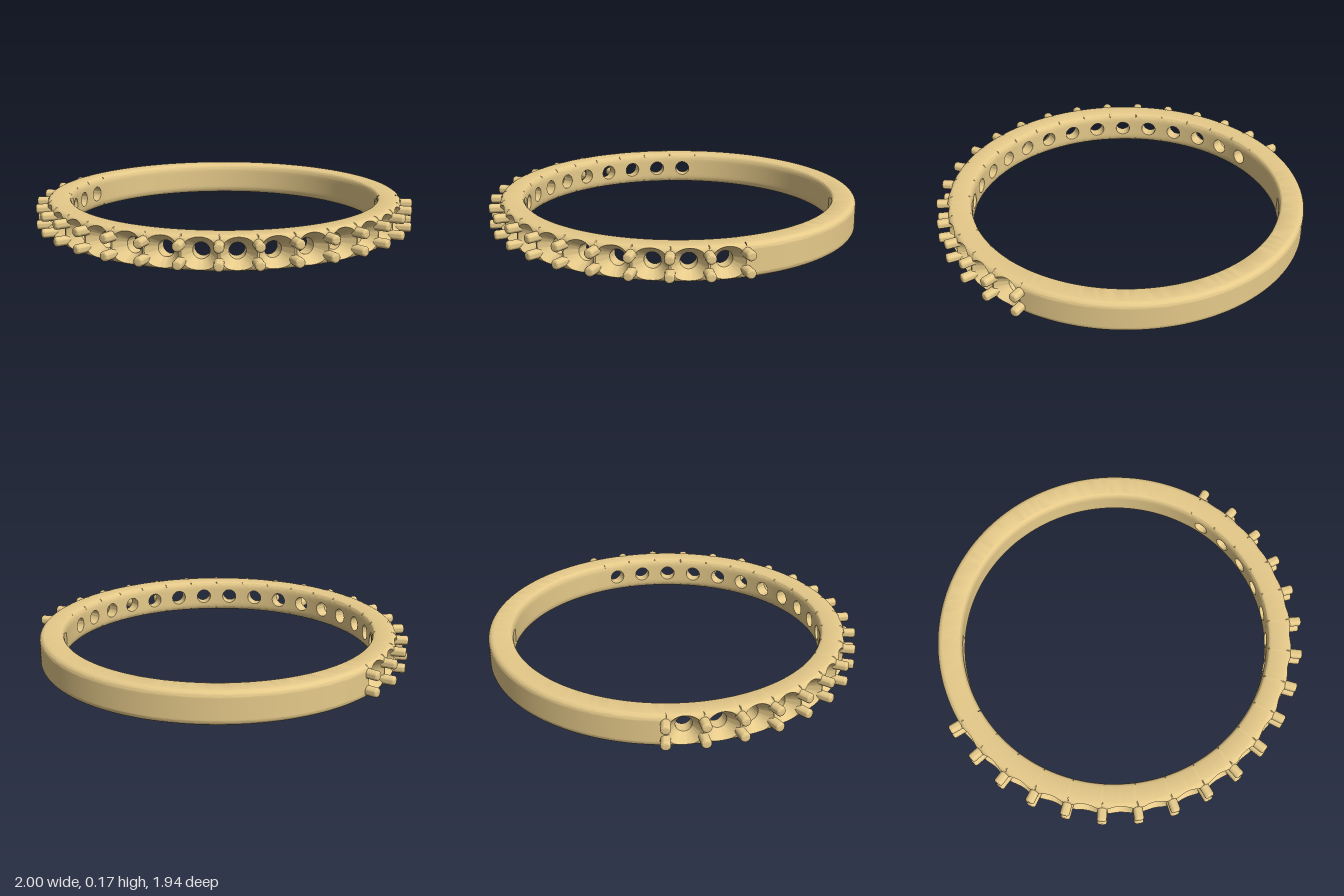
import * as THREE from 'three';
import { toCreasedNormals } from 'three/addons/utils/BufferGeometryUtils.js';

const H = 0.085;              // half height of the band
const R_OUT = 0.94, R_IN = 0.81;
const STEP = THREE.MathUtils.degToRad(10.9); // angle between stone seats
const SEATS = 19;
const HOLE = 0.04;            // bore radius of a seat
const CENTRE_Z = -0.03;

const rounding = (y, h, depth) => {
  const t = Math.max(0, (Math.abs(y) - (H - h)) / h);
  return depth * (1 - Math.sqrt(Math.max(0, 1 - t * t)));
};
const outer = (y) => R_OUT - rounding(y, 0.03, 0.03);
const inner = (y) => R_IN + rounding(y, 0.04, 0.02);
const cone = (rho) => 0.875 + (rho - HOLE) * 1.44;

// Plain back of the band: a partial lathe of the rounded section
function plainBandGeometry() {
  const ys = [];
  for (let i = 0; i <= 40; i++) ys.push(-H * Math.cos((i / 40) * Math.PI));
  const pts = ys.map((y) => new THREE.Vector2(outer(y), y));
  pts.push(...ys.reverse().map((y) => new THREE.Vector2(inner(y), y)));
  pts.push(pts[0].clone());
  const start = (SEATS / 2) * STEP;
  const geo = new THREE.LatheGeometry(pts, 96, start, Math.PI * 2 - 2 * start);
  return toCreasedNormals(geo, 0.6);
}

// One cell of the band with a countersunk, bored stone seat.
// Rings run from the cell outline, down the cone and bore, and out over the inside.
function seatGeometry() {
  const N = 64, EDGE = 7;
  const pos = [], index = [];
  const columns = [];
  for (let j = 0; j < N; j++) {
    const a = (j / N) * Math.PI * 2;
    const c = Math.cos(a), s = Math.sin(a);
    const m = Math.max(Math.abs(c), Math.abs(s));
    const edgeAngle = (c / m) * (STEP / 2), edgeY = (s / m) * H;
    const col = [];
    // f = 0 at the bore, 1 at the cell outline
    const place = (f, radius) => {
      const y = THREE.MathUtils.lerp(HOLE * s, edgeY, f);
      const r = radius(y);
      const phi = THREE.MathUtils.lerp(Math.asin((HOLE * c) / r), edgeAngle, f);
      return { phi, y, r };
    };
    // where the cone breaks through the outer surface
    let lo = 0, hi = 1;
    for (let k = 0; k < 30; k++) {
      const f = (lo + hi) / 2, p = place(f, outer);
      if (cone(Math.hypot(p.r * Math.sin(p.phi), p.y)) < p.r) lo = f; else hi = f;
    }
    for (let i = 0; i <= EDGE; i++) col.push(place(THREE.MathUtils.lerp(1, lo, i / EDGE), outer));
    col.push(place(0, () => cone(HOLE)));
    for (const f of [0, 0.25, 0.5, 0.7, 0.85, 0.95, 1]) col.push(place(f, inner));
    columns.push(col);
  }
  const rings = columns[0].length;
  for (let i = 0; i < rings; i++) {
    for (const col of columns) {
      const { phi, y, r } = col[i];
      pos.push(r * Math.sin(phi), y, r * Math.cos(phi));
    }
  }
  for (let i = 0; i < rings; i++) {
    const next = (i + 1) % rings;
    for (let j = 0; j < N; j++) {
      // close the section only along the top and bottom of the band
      if (next === 0 && (j % (N / 2) < N / 8 || j % (N / 2) >= (3 * N) / 8)) continue;
      const k = (j + 1) % N;
      const a = i * N + j, b = i * N + k, c = next * N + k, d = next * N + j;
      index.push(a, b, c, a, c, d);
    }
  }
  const geo = new THREE.BufferGeometry();
  geo.setAttribute('position', new THREE.Float32BufferAttribute(pos, 3));
  geo.setIndex(index);
  return toCreasedNormals(geo, 0.6);
}

// Prong: short pin with a softened tip, pointing along +z
function prongGeometry() {
  const r = 0.025, tip = 1.0, soft = 0.012;
  const pts = [new THREE.Vector2(0, 0.88), new THREE.Vector2(r, 0.88)];
  for (let i = 0; i <= 5; i++) {
    const a = (i / 5) * Math.PI / 2;
    pts.push(new THREE.Vector2(r - soft + soft * Math.cos(a), tip - soft + soft * Math.sin(a)));
  }
  pts.push(new THREE.Vector2(0, tip));
  return toCreasedNormals(new THREE.LatheGeometry(pts, 24).rotateX(Math.PI / 2), 0.6);
}

export function createModel() {
  const gold = new THREE.MeshStandardMaterial({ color: 0xe6ca8a });
  const ring = new THREE.Group();
  ring.name = 'ring';
  const add = (parent, geo, name, angle, y = 0) => {
    const mesh = new THREE.Mesh(geo, gold);
    mesh.name = name;
    mesh.rotation.y = angle;
    mesh.position.y = y;
    parent.add(mesh);
  };

  add(ring, plainBandGeometry(), 'plainBand', 0);

  // Seats around the front of the band
  const seats = new THREE.Group();
  seats.name = 'stoneSeats';
  const seat = seatGeometry();
  for (let i = 0; i < SEATS; i++) add(seats, seat, 'stoneSeat', (i - (SEATS - 1) / 2) * STEP);
  ring.add(seats);

  // A pair of prongs on every boundary between seats
  const prongs = new THREE.Group();
  prongs.name = 'prongs';
  const prong = prongGeometry();
  for (let i = 0; i <= SEATS; i++) {
    for (const y of [-0.043, 0.043]) add(prongs, prong, 'prong', (i - SEATS / 2) * STEP, y);
  }
  ring.add(prongs);

  ring.position.set(0, H, CENTRE_Z);
  const model = new THREE.Group();
  model.name = 'prongSetRing';
  model.add(ring);
  return model;
}
